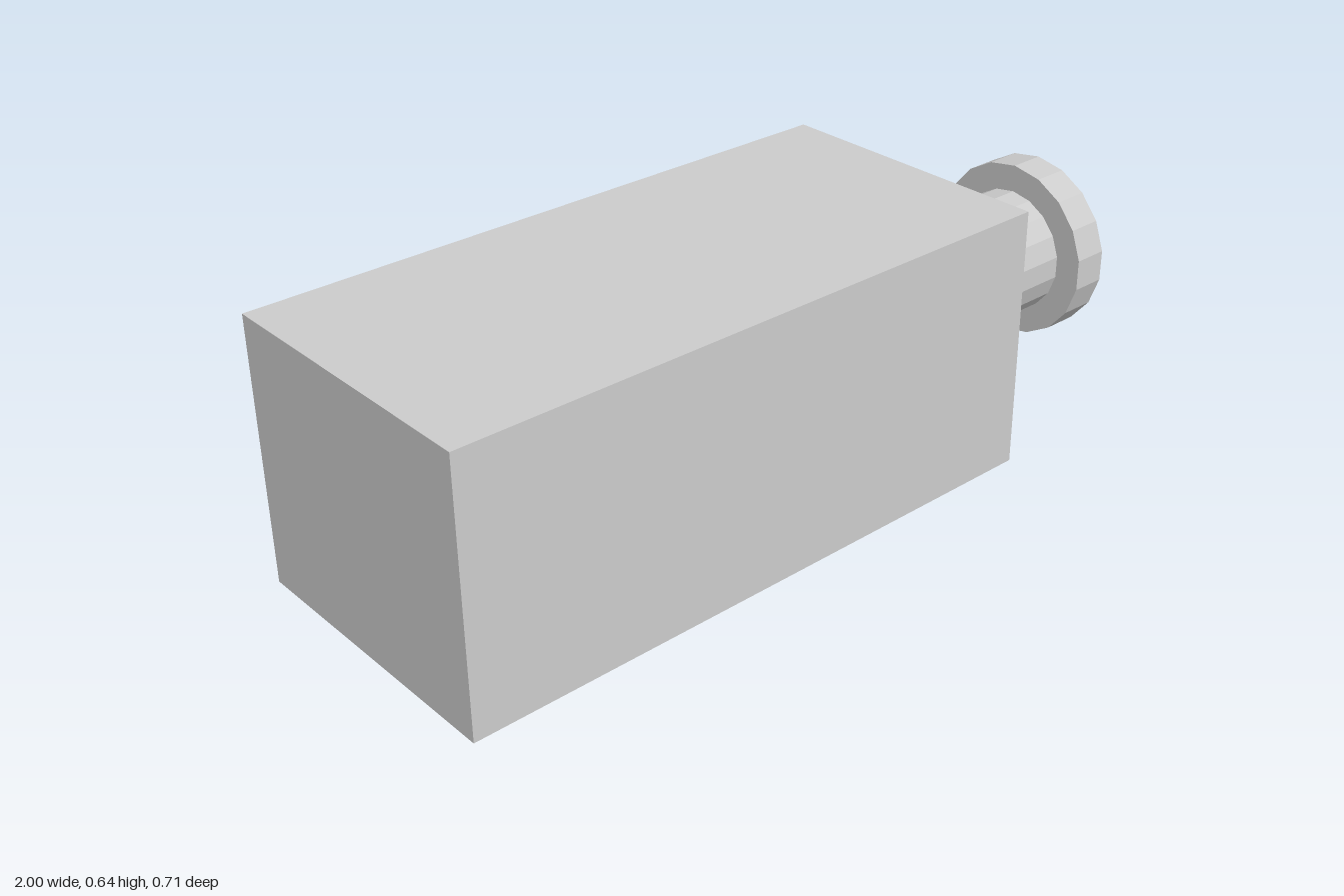
import * as THREE from 'three';

export function createModel() {
  const group = new THREE.Group();
  const material = new THREE.MeshStandardMaterial({ color: 0xcccccc, flatShading: true });

  const add = (name, geometry, x, y, z) => {
    const mesh = new THREE.Mesh(geometry, material);
    mesh.name = name;
    mesh.position.set(x, y, z);
    group.add(mesh);
  };

  // 18-sided cylinder lying along x, with a corner pointing straight up
  const addRod = (name, radius, x0, x1) => {
    const geometry = new THREE.CylinderGeometry(radius, radius, x1 - x0, 18, 1, false, Math.PI / 2);
    geometry.rotateZ(-Math.PI / 2);
    add(name, geometry, (x0 + x1) / 2, 0.31, 0.002);
  };

  // Rectangular body
  add('body', new THREE.BoxGeometry(1.53, 0.637, 0.714), -0.235, 0.3185, 0);

  // Plunger: shaft and end disc
  addRod('shaft', 0.155, 0.53, 0.91);
  addRod('endDisc', 0.223, 0.91, 1);

  return group;
}
